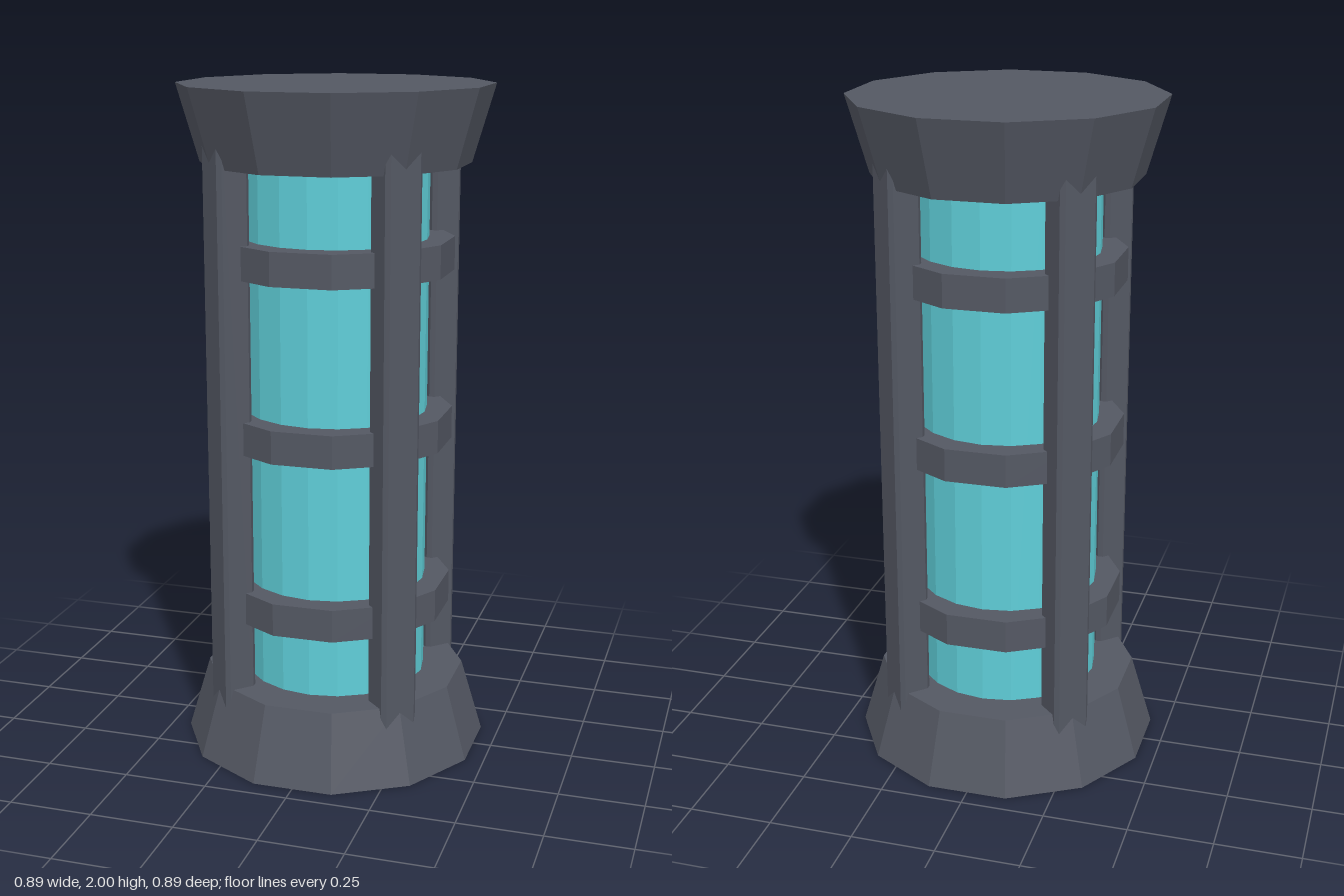
import * as THREE from 'three';

export function createModel() {
  const model = new THREE.Group();
  model.name = 'canister';
  const metal = new THREE.MeshStandardMaterial({ color: 0x545863, flatShading: true });
  metal.name = 'dark metal';
  const glass = new THREE.MeshStandardMaterial({ color: 0x5fced8, flatShading: true });
  glass.name = 'teal glass';

  // Upright prism whose flat sides face the axes
  function prism(name, rTop, rBottom, y0, y1, sides, material) {
    const geo = new THREE.CylinderGeometry(rTop, rBottom, y1 - y0, sides);
    geo.rotateY(Math.PI / 12);
    const mesh = new THREE.Mesh(geo, material);
    mesh.position.y = (y0 + y1) / 2;
    mesh.name = name;
    model.add(mesh);
    return mesh;
  }

  // Flared end caps
  prism('bottomCap', 0.394, 0.46, 0, 0.225, 12, metal);
  prism('topCap', 0.46, 0.394, 1.775, 2, 12, metal);

  // Inner tube, turned so that its corners lie on the axes
  const tube = prism('tube', 0.275, 0.275, 0.15, 1.85, 20, glass);
  tube.rotation.y = -Math.PI / 12;

  // Bands around the tube
  for (const [name, y] of [['lowerBand', 0.477], ['middleBand', 1.0], ['upperBand', 1.512]]) {
    prism(name, 0.349, 0.349, y - 0.049, y + 0.049, 12, metal);
  }

  // Four chamfered posts on the diagonals
  const w = 0.058, d = 0.049, c = 0.0115;
  const section = new THREE.Shape([
    [-w + c, -d], [w - c, -d], [w, -d + c], [w, d - c],
    [w - c, d], [-w + c, d], [-w, d - c], [-w, -d + c],
  ].map(([x, y]) => new THREE.Vector2(x, y)));
  const postGeo = new THREE.ExtrudeGeometry(section, { depth: 1.8, bevelEnabled: false });
  postGeo.rotateX(-Math.PI / 2);
  postGeo.translate(0, 0.1, 0.35);
  ['frontLeftPost', 'backLeftPost', 'backRightPost', 'frontRightPost'].forEach((name, i) => {
    const post = new THREE.Mesh(postGeo, metal);
    post.rotation.y = Math.PI / 4 + i * Math.PI / 2;
    post.name = name;
    model.add(post);
  });

  return model;
}
